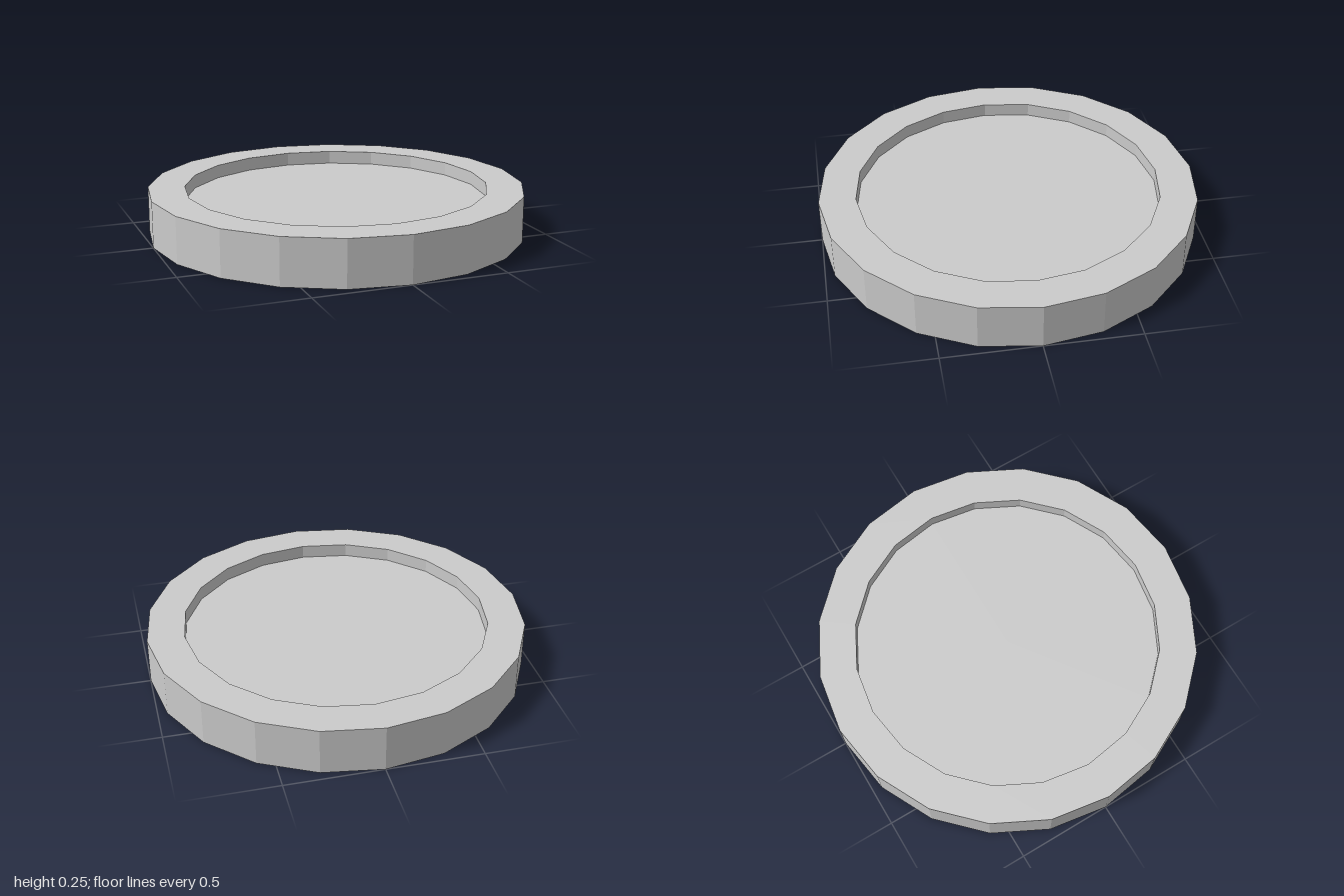
import * as THREE from 'three';

export function createModel() {
  const model = new THREE.Group();
  const material = new THREE.MeshStandardMaterial({ color: 0xcccccc, flatShading: true });
  const sides = 20, outer = 1, inner = 0.805, height = 0.245, recess = 0.072;

  const add = (name, geometry) => {
    const mesh = new THREE.Mesh(geometry, material);
    mesh.name = name;
    model.add(mesh);
    return mesh;
  };

  // Raised rim: lower step, underside, outer wall, top and upper step
  const profile = [
    [inner, recess], [inner, 0], [outer, 0],
    [outer, height], [inner, height], [inner, height - recess],
  ].map(([r, y]) => new THREE.Vector2(r, y));
  add('rim', new THREE.LatheGeometry(profile, sides));

  // Recessed faces on both sides of the disc
  const topFace = add('topFace', new THREE.CircleGeometry(inner, sides));
  topFace.rotation.x = -Math.PI / 2;
  topFace.position.y = height - recess;

  const bottomFace = add('bottomFace', new THREE.CircleGeometry(inner, sides));
  bottomFace.rotation.x = Math.PI / 2;
  bottomFace.position.y = recess;

  return model;
}
